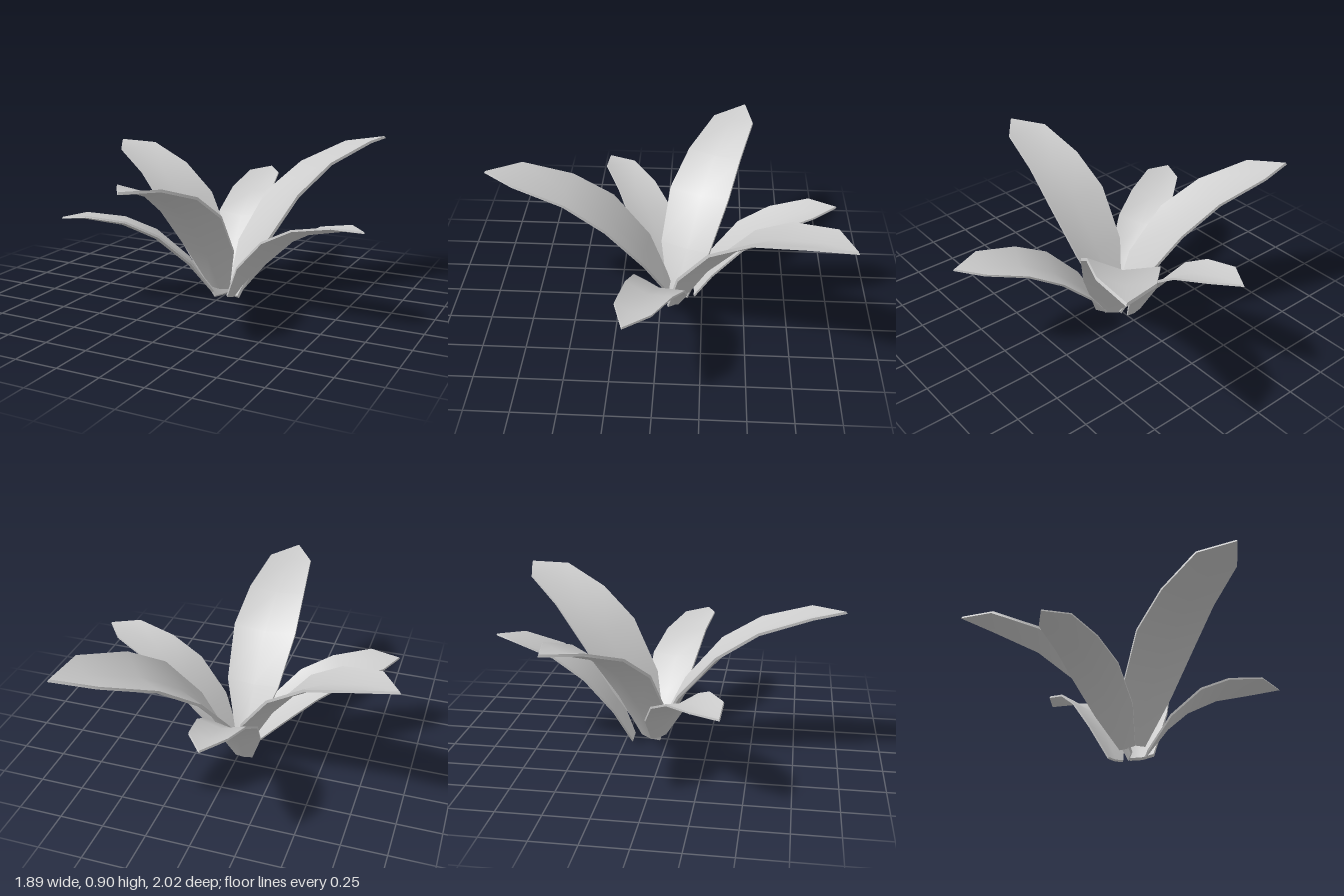
import * as THREE from 'three';
import { toCreasedNormals } from 'three/addons/utils/BufferGeometryUtils.js';

// Unit leaf along +z: [distance along, arch height, half width, edge lift]
const STATIONS = [
  [0, 0, 0.05, 0.006],
  [0.206, 0.085, 0.122, 0.025],
  [0.455, 0.138, 0.147, 0.03],
  [0.665, 0.126, 0.131, 0.028],
  [0.882, 0.059, 0.1, 0.02],
  [1, 0, 0, 0],
];
const THICKNESS = 0.012;

// Loft a thin, cupped six-point section through the stations
function leafGeometry() {
  const pos = [], index = [], n = 6;
  for (const [z, y, w, lift] of STATIONS) {
    const b = y - THICKNESS;
    pos.push(w, y + lift, z, 0, y, z, -w, y + lift, z);
    pos.push(-w, b + lift, z, 0, b, z, w, b + lift, z);
  }
  for (let i = 0; i < STATIONS.length - 1; i++) {
    for (let j = 0; j < n; j++) {
      const a = i * n + j, b = i * n + (j + 1) % n;
      index.push(a, b, b + n, a, b + n, a + n);
    }
  }
  // Closed foot of the leaf
  index.push(0, 5, 4, 0, 4, 1, 1, 4, 3, 1, 3, 2);
  const geo = new THREE.BufferGeometry();
  geo.setAttribute('position', new THREE.Float32BufferAttribute(pos, 3));
  geo.setIndex(index);
  return toCreasedNormals(geo, 0.75);
}

// Each leaf runs from its base to its tip, rolled about that line
const LEAVES = [
  { name: 'frontLeaf', base: [0, 0.08, -0.05], tip: [-0.025, 0.86, 1.0], roll: 0 },
  { name: 'backLeftLeaf', base: [0.07, 0.025, -0.09], tip: [0.7, 0.91, -1.0], roll: 0.16 },
  { name: 'backLeaf', base: [-0.04, 0.025, -0.2], tip: [-0.075, 0.655, -1.0], roll: 0 },
  { name: 'backRightLeaf', base: [0, 0.02, -0.1], tip: [-0.94, 0.85, -0.49], roll: 0.06 },
  { name: 'leftLeaf', base: [0.08, 0.035, -0.06], tip: [0.935, 0.575, 0.145], roll: 0.13 },
  { name: 'frontRightLeaf', base: [-0.05, 0.05, -0.05], tip: [-0.82, 0.515, 0.375], roll: -0.13 },
];

export function createModel() {
  const plant = new THREE.Group();
  plant.name = 'leafRosette';
  const geometry = leafGeometry();
  const material = new THREE.MeshStandardMaterial({ color: 0xcccccc });

  for (const { name, base, tip, roll } of LEAVES) {
    const foot = new THREE.Vector3(...base);
    const along = new THREE.Vector3(...tip).sub(foot);
    const length = along.length();
    along.normalize();
    const side = new THREE.Vector3(0, 1, 0).cross(along).normalize();
    const up = along.clone().cross(side);
    const frame = new THREE.Matrix4().makeBasis(side, up, along);
    frame.multiply(new THREE.Matrix4().makeRotationZ(-roll));

    const leaf = new THREE.Mesh(geometry, material);
    leaf.name = name;
    leaf.quaternion.setFromRotationMatrix(frame);
    leaf.position.copy(foot);
    leaf.scale.setScalar(length);
    plant.add(leaf);
  }
  return plant;
}
